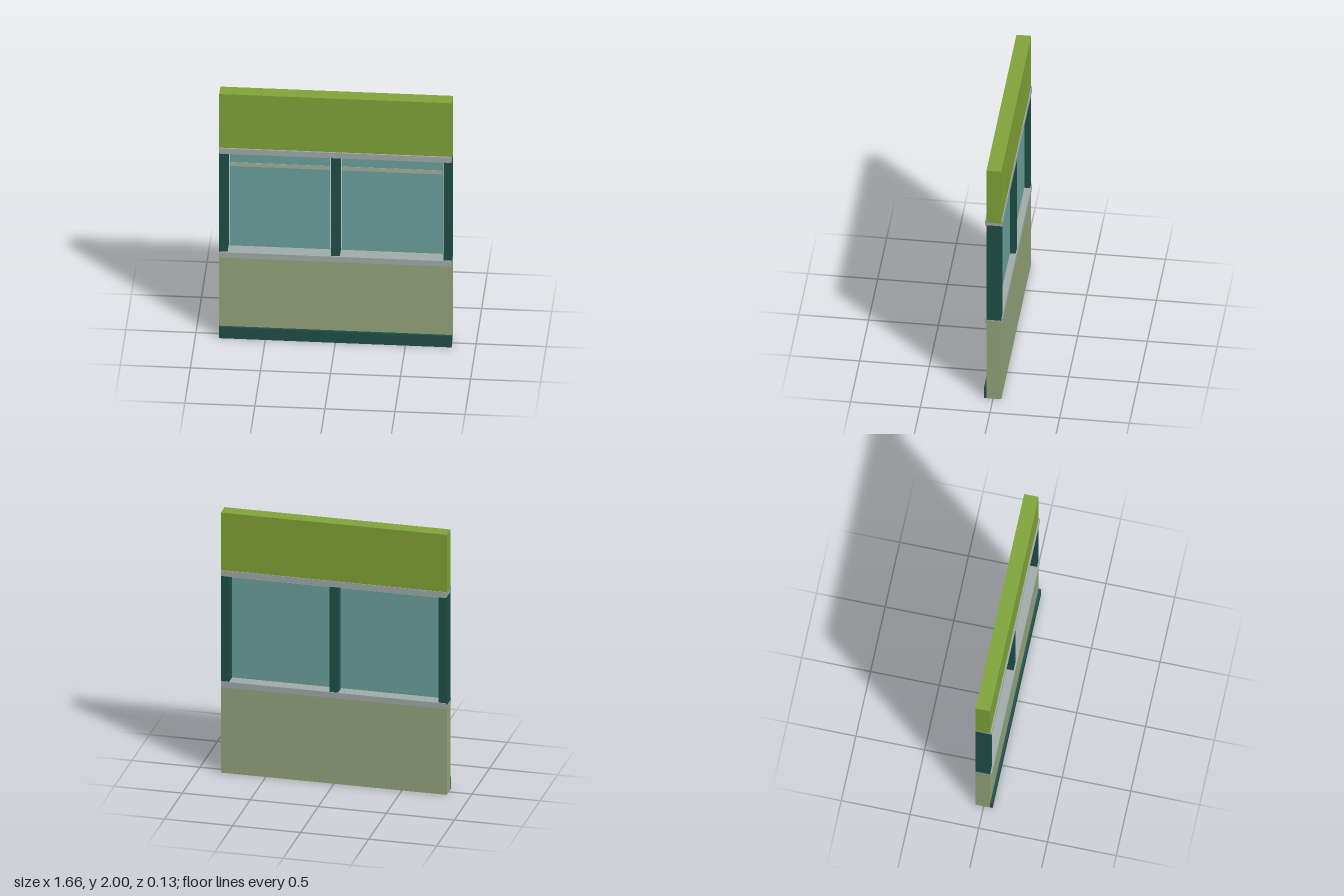
import * as THREE from 'three';

const mat = (name, color) => {
  const m = new THREE.MeshStandardMaterial({ color });
  m.name = name;
  return m;
};

export function createModel() {
  const group = new THREE.Group();
  group.name = 'windowWallPanel';

  const green = mat('leaf green', 0x82a639);
  const sage = mat('sage', 0x95a77d);
  const dark = mat('dark teal', 0x205049);
  const glass = mat('glass teal', 0x6ca49f);
  const grey = mat('rail grey', 0xa3adab);
  const pale = mat('pale stripe', 0xa1b09c);

  // Box given by its lower and upper limits on each axis
  const box = (name, material, [x0, x1], [y0, y1], [z0, z1]) => {
    const mesh = new THREE.Mesh(new THREE.BoxGeometry(x1 - x0, y1 - y0, z1 - z0), material);
    mesh.position.set((x0 + x1) / 2, (y0 + y1) / 2, (z0 + z1) / 2);
    mesh.name = name;
    group.add(mesh);
  };

  const full = [-0.829, 0.829];
  const wall = [-0.83, 0.83];
  const depth = [-0.059, 0.047];

  // Solid wall bands and skirting
  box('upperWall', green, wall, [1.545, 2], depth);
  box('lowerWall', sage, wall, [0, 0.68], depth);
  box('skirting', dark, wall, [0, 0.092], [0.047, 0.065]);

  // Sill and head rails, projecting at both faces
  box('sillRail', grey, full, [0.66, 0.704], [-0.065, 0.058]);
  box('headRail', grey, full, [1.515, 1.559], [-0.065, 0.058]);

  // Posts
  box('rightPost', dark, [-0.83, -0.77], [0.69, 1.52], depth);
  box('middlePost', dark, [-0.031, 0.031], [0.704, 1.515], depth);
  box('leftPost', dark, [0.77, 0.83], [0.69, 1.52], depth);

  // Floating panes with a stripe on the front
  for (const side of [-1, 1]) {
    const cx = side * 0.4;
    const span = [cx - 0.36, cx + 0.36];
    box('pane', glass, span, [0.725, 1.494], [-0.021, -0.009]);
    box('paneStripe', pale, span, [1.38, 1.411], [-0.009, -0.006]);
  }

  return group;
}
